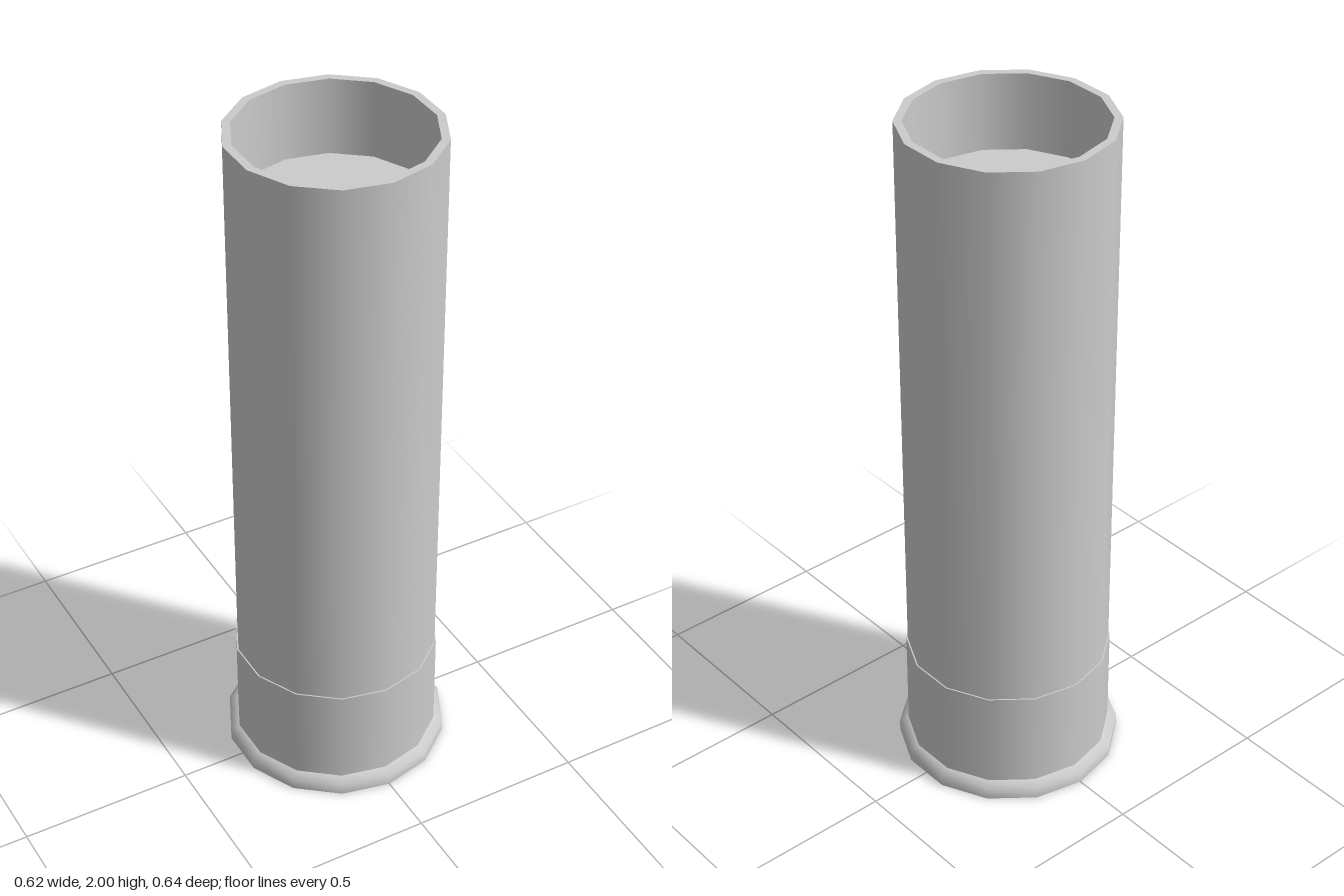
import * as THREE from 'three';

const SIDES = 14;

export function createModel() {
  const model = new THREE.Group();
  model.name = 'flangedTube';
  const grey = new THREE.MeshStandardMaterial({ color: 0xcccccc });
  grey.name = 'plain grey';

  // Each ring surface is turned from its own profile, so edges between parts stay sharp
  const turn = (name, profile) => {
    const points = profile.map(([r, y]) => new THREE.Vector2(r, y));
    const mesh = new THREE.Mesh(new THREE.LatheGeometry(points, SIDES), grey);
    mesh.name = name;
    model.add(mesh);
  };

  // Base flange with a softly shaded sloping top
  turn('baseUnderside', [[0, 0], [0.32, 0]]);
  turn('baseRim', [[0.32, 0], [0.32, 0.035], [0.294, 0.047]]);

  // Slightly wider collar around the foot of the tube
  turn('collar', [[0.294, 0.045], [0.294, 0.345]]);
  turn('collarStep', [[0.294, 0.345], [0.29, 0.345]]);

  // Tube wall, lip and recessed floor
  turn('tubeOuterWall', [[0.29, 0.345], [0.29, 2]]);
  turn('tubeLip', [[0.29, 2], [0.267, 2]]);
  turn('tubeInnerWall', [[0.267, 2], [0.267, 1.78]]);
  turn('recessedFloor', [[0.267, 1.78], [0, 1.78]]);

  return model;
}
